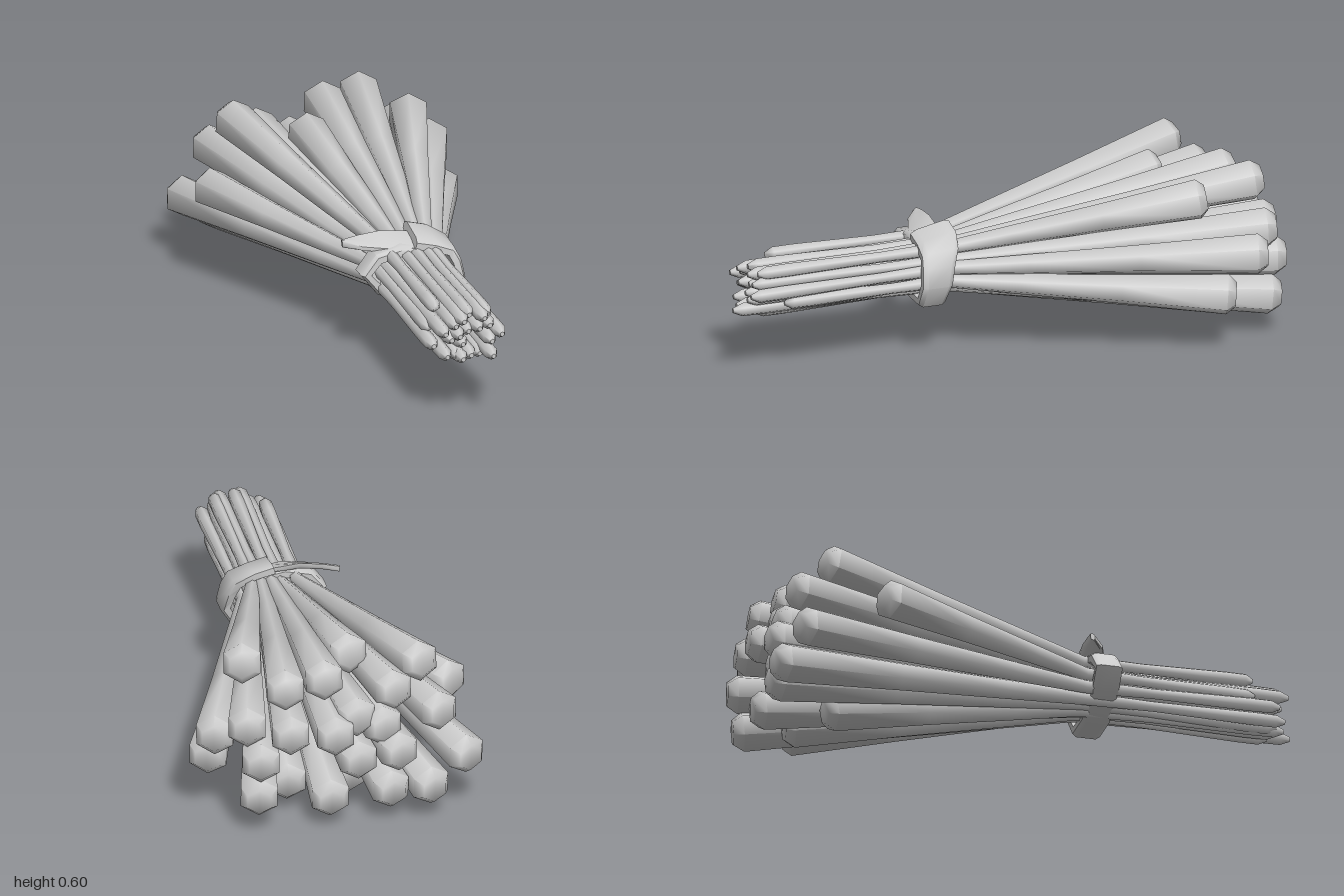
import * as THREE from 'three';
import { toCreasedNormals } from 'three/addons/utils/BufferGeometryUtils.js';

const material = new THREE.MeshStandardMaterial({ color: 0xcccccc, side: THREE.DoubleSide });

// Joins equal-sized rings of points into a closed skin with flat ends
function skin(rings, crease) {
  const n = rings[0].length, pos = [], idx = [];
  rings.forEach(r => r.forEach(p => pos.push(p.x, p.y, p.z)));
  for (let i = 0; i < rings.length - 1; i++) {
    for (let j = 0; j < n; j++) {
      const a = i * n + j, b = i * n + (j + 1) % n;
      idx.push(a, b, b + n, a, b + n, a + n);
    }
  }
  const last = (rings.length - 1) * n;
  for (let j = 1; j < n - 1; j++) {
    idx.push(0, j + 1, j, last, last + j, last + j + 1);
  }
  const g = new THREE.BufferGeometry();
  g.setAttribute('position', new THREE.Float32BufferAttribute(pos, 3));
  g.setIndex(idx);
  return toCreasedNormals(g, crease);
}

// Six-sided stalk: swollen rounded tip in front, slim at the tie, thick domed head behind
function stalk(hx, hy, hz, front, shift) {
  const neck = new THREE.Vector3(0.01 + hx * 0.25, 0.31 + (hy - 0.315) * 0.34, 0.2);
  const tip = new THREE.Vector3(0.005 + hx * 0.25 + shift, 0.305 + (hy - 0.315) * 0.33 - shift, front);
  const head = new THREE.Vector3(hx, hy, hz + 0.01);
  const stations = [
    [tip, neck, 0, 0.009], [tip, neck, 0.045, 0.025], [tip, neck, 0.16, 0.026],
    [tip, neck, 0.65, 0.02], [neck, head, 0, 0.026], [neck, head, 0.25, 0.038],
    [neck, head, 0.6, 0.054], [neck, head, 0.97, 0.075], [neck, head, 1, 0.048],
  ];
  const rings = stations.map(([a, b, t, r]) => {
    const c = a.clone().lerp(b, t);
    const dir = b.clone().sub(a).normalize();
    const q = new THREE.Quaternion().setFromUnitVectors(new THREE.Vector3(0, 0, -1), dir);
    return Array.from({ length: 6 }, (_, k) => {
      const u = k * Math.PI / 3;
      return new THREE.Vector3(r * Math.sin(u), r * Math.cos(u), 0).applyQuaternion(q).add(c);
    });
  });
  return skin(rings, 1.15);
}

// Strip along [x, y, zBack, zFront, lift] points; lift raises the back edge over the front.
// The cross-section is bevelled outside and bulges inwards.
function strip(points, thickness, bulge) {
  const rings = points.map(([x, y, z0, z1, lift], i) => {
    const p = points[Math.max(i - 1, 0)], q = points[Math.min(i + 1, points.length - 1)];
    const d = new THREE.Vector2(q[0] - p[0], q[1] - p[1]).normalize();
    const section = [
      [0, 0.2], [0.15, 0.5], [0.85, 0.5], [1, 0.2], [1, -0.5], [0.5, -0.5 - bulge], [0, -0.5],
    ];
    return section.map(([t, h]) => new THREE.Vector3(
      x - d.y * h * thickness,
      y + d.x * h * thickness + lift * (0.5 - t),
      z0 + (z1 - z0) * t,
    ));
  });
  return skin(rings, 0.9);
}

export function createModel() {
  const group = new THREE.Group();
  const add = (geometry, name, parent = group) => {
    const m = new THREE.Mesh(geometry, material);
    m.name = name;
    parent.add(m);
  };

  // Head centres: outer fan first, then the stalks inside it
  const heads = [
    [-0.31, 0.54, -0.82], [-0.2, 0.47, -0.89], [-0.08, 0.52, -0.67], [0.057, 0.54, -0.9],
    [0.21, 0.54, -0.95], [0.317, 0.535, -0.7], [0.35, 0.405, -0.95], [0.455, 0.35, -0.88],
    [0.455, 0.21, -0.76], [0.312, 0.135, -0.98], [0.178, 0.11, -0.83], [0.05, 0.105, -0.98],
    [-0.07, 0.075, -0.75], [-0.172, 0.118, -0.98], [-0.315, 0.128, -1], [-0.455, 0.215, -0.95],
    [-0.455, 0.36, -0.64], [-0.355, 0.4, -0.95],
    [-0.2, 0.27, -0.99], [-0.15, 0.36, -0.95], [0.035, 0.36, -1], [0.2, 0.38, -1],
    [0.31, 0.28, -1], [-0.06, 0.23, -0.95], [-0.055, 0.4, -0.94],
  ];
  const stalks = new THREE.Group();
  stalks.name = 'stalks';
  heads.forEach(([x, y, z], i) => {
    let front = 0.91 + 0.04 * ((i * 7) % 5) / 4;
    if (i % 8 === 0) front = 0.82;
    if (i === 9) front = 1;
    add(stalk(x, y, z, front, 0.006 * ((i * 5) % 3 - 1)), 'stalk', stalks);
  });
  group.add(stalks);

  // Band wound once round the neck, its raised end on top
  add(strip([
    [0.02, 0.438, 0.165, 0.31, 0.03], [0.09, 0.42, 0.165, 0.31, 0.03], [0.15, 0.39, 0.18, 0.315, 0.015],
    [0.17, 0.345, 0.2, 0.32, 0], [0.184, 0.285, 0.215, 0.325, 0], [0.14, 0.212, 0.225, 0.325, 0],
    [0.02, 0.212, 0.225, 0.325, 0], [-0.115, 0.267, 0.225, 0.32, 0], [-0.167, 0.33, 0.225, 0.32, 0],
    [-0.12, 0.385, 0.22, 0.315, 0], [-0.03, 0.405, 0.21, 0.305, 0.01], [0.06, 0.395, 0.2, 0.3, 0.01],
  ], 0.034, 0.55), 'band');

  // Pointed loose end tucked under the raised end
  add(strip([
    [0.1, 0.4, 0.2, 0.3, 0.02], [0.02, 0.413, 0.205, 0.3, 0.03], [-0.08, 0.42, 0.2, 0.28, 0.04],
    [-0.16, 0.418, 0.195, 0.25, 0.025], [-0.22, 0.415, 0.19, 0.205, 0.005],
  ], 0.02, 0.2), 'bandLooseEnd');

  return group;
}
